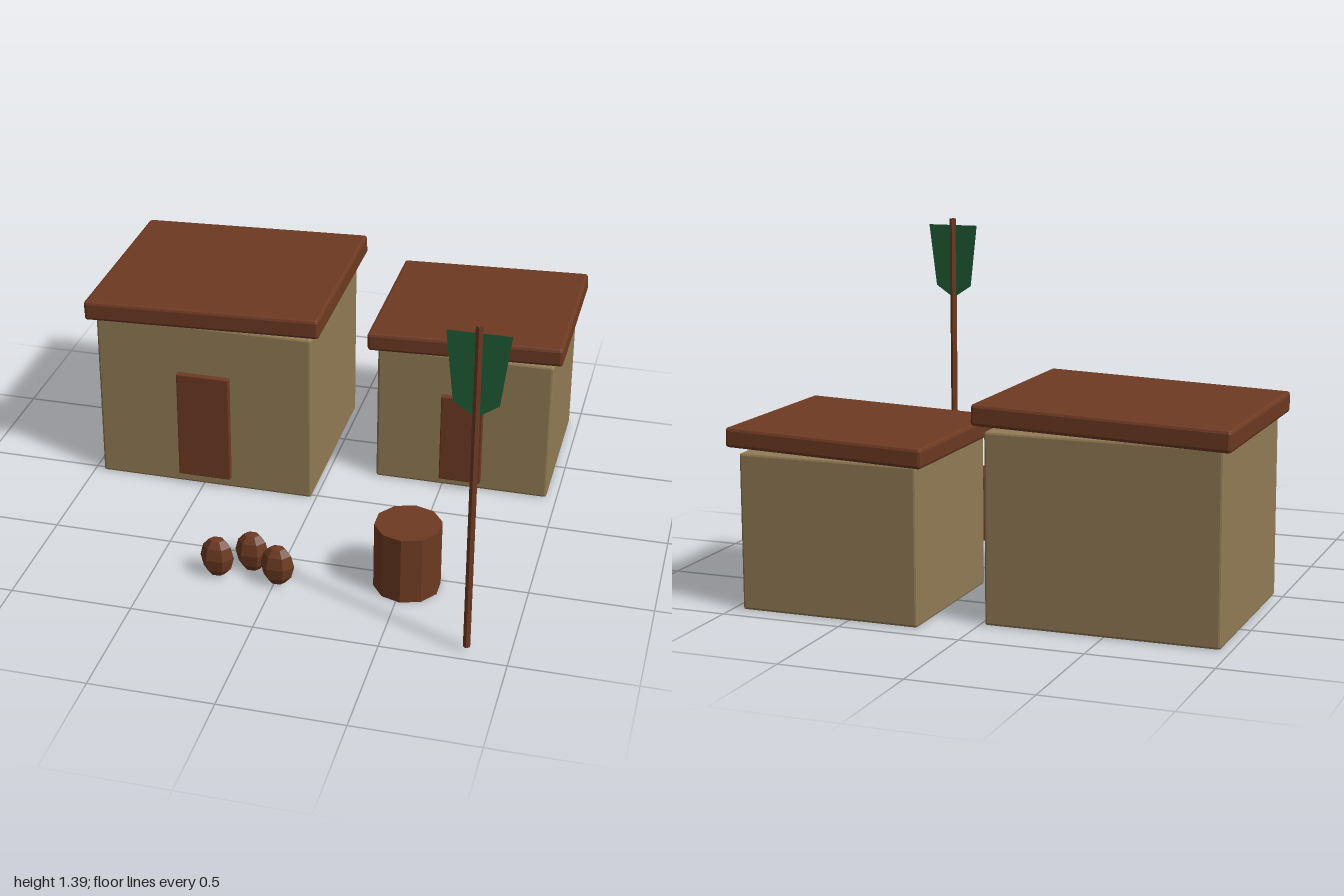
import * as THREE from 'three';
import { RoundedBoxGeometry } from 'three/addons/geometries/RoundedBoxGeometry.js';

const wood = new THREE.MeshStandardMaterial({ color: 0x6e3a22 });
wood.name = 'reddishWood';
const clay = new THREE.MeshStandardMaterial({ color: 0x927c55 });
clay.name = 'sandyClay';
const cloth = new THREE.MeshStandardMaterial({ color: 0x1f5c35, side: THREE.DoubleSide });
cloth.name = 'greenCloth';

// Faceted normals for a low-poly look
function faceted(geometry) {
  const g = geometry.index ? geometry.toNonIndexed() : geometry;
  g.computeVertexNormals();
  return g;
}

function add(parent, name, geometry, material, x, y, z) {
  const mesh = new THREE.Mesh(geometry, material);
  mesh.name = name;
  mesh.position.set(x, y, z);
  parent.add(mesh);
  return mesh;
}

// Box with narrow chamfered edges
const block = (w, h, d, r = 0.01) => faceted(new RoundedBoxGeometry(w, h, d, 1, r));

// Hut: walls on the ground, a tilted slab roof and a raised door
function makeHut(name, { x, z, w, h, d, roof, door }) {
  const hut = new THREE.Group();
  hut.name = name;
  hut.position.set(x, 0, z);
  add(hut, 'walls', block(w, h, d), clay, 0, h / 2, 0);
  add(hut, 'roof', block(roof.w, roof.h, roof.d, 0.013), wood, 0, roof.y, 0).rotation.z = 0.035;
  add(hut, 'door', block(door.w, door.h, 0.05, 0.004), wood, door.x - x, door.y, d / 2);
  return hut;
}

export function createModel() {
  const model = new THREE.Group();
  model.name = 'village';

  model.add(makeHut('largeHut', {
    x: -0.49, z: -0.383, w: 0.94, h: 0.76, d: 0.815,
    roof: { w: 1.02, h: 0.085, d: 0.89, y: 0.81 },
    door: { x: -0.49, y: 0.293, w: 0.23, h: 0.487 },
  }));
  model.add(makeHut('smallHut', {
    x: 0.582, z: -0.573, w: 0.75, h: 0.632, d: 0.69,
    roof: { w: 0.83, h: 0.08, d: 0.765, y: 0.684 },
    door: { x: 0.58, y: 0.243, w: 0.18, h: 0.405 },
  }));

  // Ten-sided barrel
  add(model, 'barrel', faceted(new THREE.CylinderGeometry(0.136, 0.136, 0.288, 10)), wood, 0.517, 0.144, 0.559);

  // Three squat faceted pots, flattened front to back
  const half = [[0, 1], [0.45, 0.95], [0.82, 0.6], [1, 0]];
  const profile = [
    ...half.map(([r, y]) => new THREE.Vector2(r, -y)),
    ...half.slice(0, 3).reverse().map(([r, y]) => new THREE.Vector2(r, y)),
  ];
  const potGeometry = faceted(new THREE.LatheGeometry(profile, 6, Math.PI / 2).scale(0.07, 0.084, 0.05));
  [[-0.238, 0.685], [-0.112, 0.615], [0.013, 0.685]].forEach(([x, z], i) => {
    add(model, `pot${i + 1}`, potGeometry, wood, x, 0.088, z);
  });

  // Banner on a slender pole
  add(model, 'pole', faceted(new THREE.CylinderGeometry(0.015, 0.015, 1.37, 6)), wood, 0.832, 0.705, 0.94);
  const outline = [[-0.119, 1.36], [-0.087, 1.077], [0, 1.02], [0.084, 1.077], [0.119, 1.36]];
  const shape = new THREE.Shape(outline.map(([x, y]) => new THREE.Vector2(x, y)));
  add(model, 'banner', new THREE.ShapeGeometry(shape), cloth, 0.832, 0, 0.94);

  return model;
}
